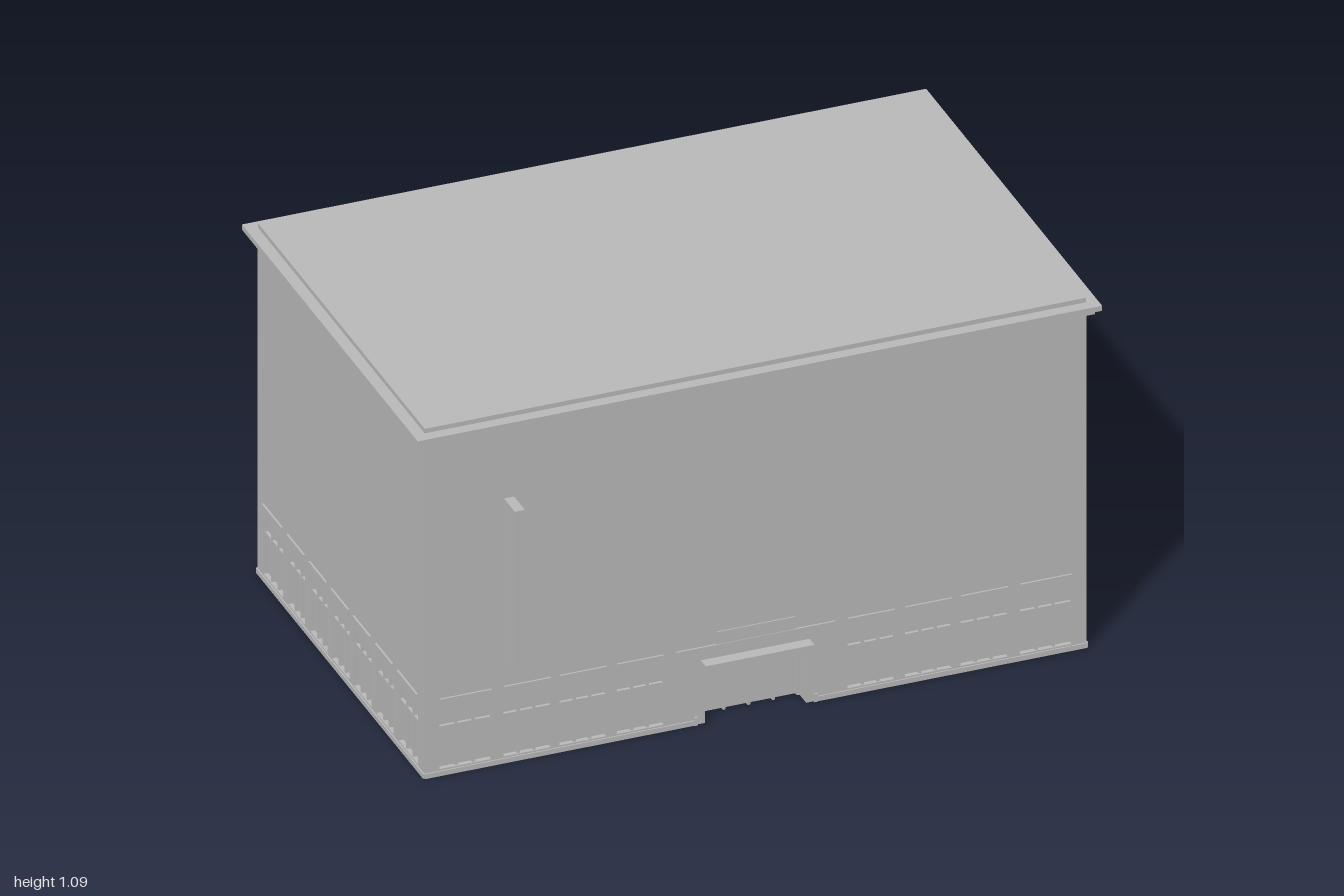
import * as THREE from 'three';

const HALF_X = 0.968, Z_FRONT = 0.587, Z_BACK = -0.631;
const MID_Z = (Z_FRONT + Z_BACK) / 2, HALF_Z = (Z_FRONT - Z_BACK) / 2;
const WALL_TOP = 1.045, WALL = 0.016;
const SILL = 0.02, HEAD = 0.2;
const DOOR = 0.148, DOOR_TOP = 0.188, DOOR_DEPTH = 0.06;

export function createModel() {
  const stone = new THREE.MeshStandardMaterial({ color: 0xb8b8b8 });
  stone.name = 'grey stone';
  const model = new THREE.Group();
  model.name = 'building';

  // Box given by its limits on each axis
  function box(parent, name, x0, x1, y0, y1, z0, z1) {
    const mesh = new THREE.Mesh(new THREE.BoxGeometry(x1 - x0, y1 - y0, z1 - z0), stone);
    mesh.position.set((x0 + x1) / 2, (y0 + y1) / 2, (z0 + z1) / 2);
    mesh.name = name;
    parent.add(mesh);
    return mesh;
  }

  // Wall lying in local x/y, its outer face at z = 0, facing +z
  function wall(name, half, windows, hasDoor) {
    const group = new THREE.Group();
    group.name = name;
    const points = [[-half, 0]];
    if (hasDoor) points.push([-DOOR, 0], [-DOOR, DOOR_TOP], [DOOR, DOOR_TOP], [DOOR, 0]);
    points.push([half, 0], [half, WALL_TOP], [-half, WALL_TOP]);
    const shape = new THREE.Shape(points.map(([x, y]) => new THREE.Vector2(x, y)));
    for (const [c, w] of windows) {
      shape.holes.push(new THREE.Path([
        new THREE.Vector2(c - w / 2, SILL), new THREE.Vector2(c - w / 2, HEAD),
        new THREE.Vector2(c + w / 2, HEAD), new THREE.Vector2(c + w / 2, SILL),
      ]));
    }
    const face = new THREE.Mesh(
      new THREE.ExtrudeGeometry(shape, { depth: WALL, bevelEnabled: false }), stone);
    face.position.z = -WALL;
    face.name = name + 'Face';
    group.add(face);

    // Recessed panes, glazing bars and the short ledge above each window
    for (const [c, w] of windows) {
      const l = c - w / 2, r = c + w / 2;
      box(group, 'windowPane', l, r, SILL, HEAD, -WALL - 0.002, -WALL + 0.002);
      for (const s of [-1, 1]) {
        const m = c + s * w / 6;
        box(group, 'mullion', m - 0.004, m + 0.004, SILL, HEAD, -WALL, -0.004);
      }
      box(group, 'transom', l, r, 0.14, 0.15, -WALL, -0.005);
      box(group, 'windowLedge', l, r, 0.225, 0.24, -0.002, 0.006);
    }

    // Low plinth, broken at the entrance
    const runs = hasDoor ? [[-half, -0.17], [0.17, half]] : [[-half, half]];
    for (const [a, b] of runs) box(group, 'plinth', a, b, 0, 0.015, -0.002, 0.004);
    model.add(group);
    return group;
  }

  const mirrored = list => list.flatMap(([c, w]) => (c ? [[-c, w], [c, w]] : [[c, w]]));
  const outer = [[0.848, 0.15], [0.668, 0.138], [0.505, 0.136], [0.337, 0.136]];
  const side = mirrored([[0.4925, 0.142], [0.322, 0.124], [0.16, 0.126], [0, 0.126]]);

  const front = wall('frontWall', HALF_X, mirrored(outer), true);
  front.position.z = Z_FRONT;
  const back = wall('backWall', HALF_X, mirrored([...outer, [0.168, 0.136], [0, 0.136]]), false);
  back.position.z = Z_BACK;
  back.rotation.y = Math.PI;
  for (const s of [-1, 1]) {
    const w = wall(s > 0 ? 'leftWall' : 'rightWall', HALF_Z, side, false);
    w.position.set(s * HALF_X, 0, MID_Z);
    w.rotation.y = s * Math.PI / 2;
  }

  // Recessed entrance with glazed doors
  const d = -DOOR_DEPTH;
  box(front, 'doorPane', -DOOR, DOOR, 0, DOOR_TOP, d - 0.004, d);
  for (const s of [-1, 1]) {
    const x = s * (DOOR + 0.003);
    box(front, 'doorReveal', x - 0.003, x + 0.003, 0, DOOR_TOP, d, -0.001);
    box(front, 'doorFoot', s * 0.175 - 0.005, s * 0.175 + 0.005, 0, 0.025, -0.002, 0.006);
  }
  box(front, 'doorSoffit', -DOOR, DOOR, DOOR_TOP, DOOR_TOP + 0.005, d, -0.001);
  for (let i = -2; i <= 2; i++) {
    box(front, 'doorMullion', i * 0.072 - 0.004, i * 0.072 + 0.004, 0, DOOR_TOP, d, d + 0.012);
  }
  box(front, 'doorTransom', -DOOR, DOOR, 0.14, 0.15, d, d + 0.01);
  box(front, 'canopy', -0.16, 0.158, 0.186, 0.198, -0.002, 0.036);
  box(front, 'entranceLedge', -0.235, 0.232, 0.225, 0.24, -0.002, 0.006);
  box(front, 'entrancePanel', -0.115, 0.115, 0.24, 0.278, -0.002, 0.004);

  // Blade projecting from the facade
  box(front, 'facadeBlade', -0.735, -0.706, 0.325, 0.825, -0.002, 0.079);

  // Stepped cornice and roof
  for (const [name, grow, y0, y1] of [
    ['lowerCornice', 0.017, 1.045, 1.06],
    ['upperCornice', 0.032, 1.06, 1.076],
    ['roof', -0.002, 1.076, 1.09],
  ]) {
    box(model, name, -HALF_X - grow, HALF_X + grow, y0, y1, Z_BACK - grow, Z_FRONT + grow);
  }
  return model;
}
